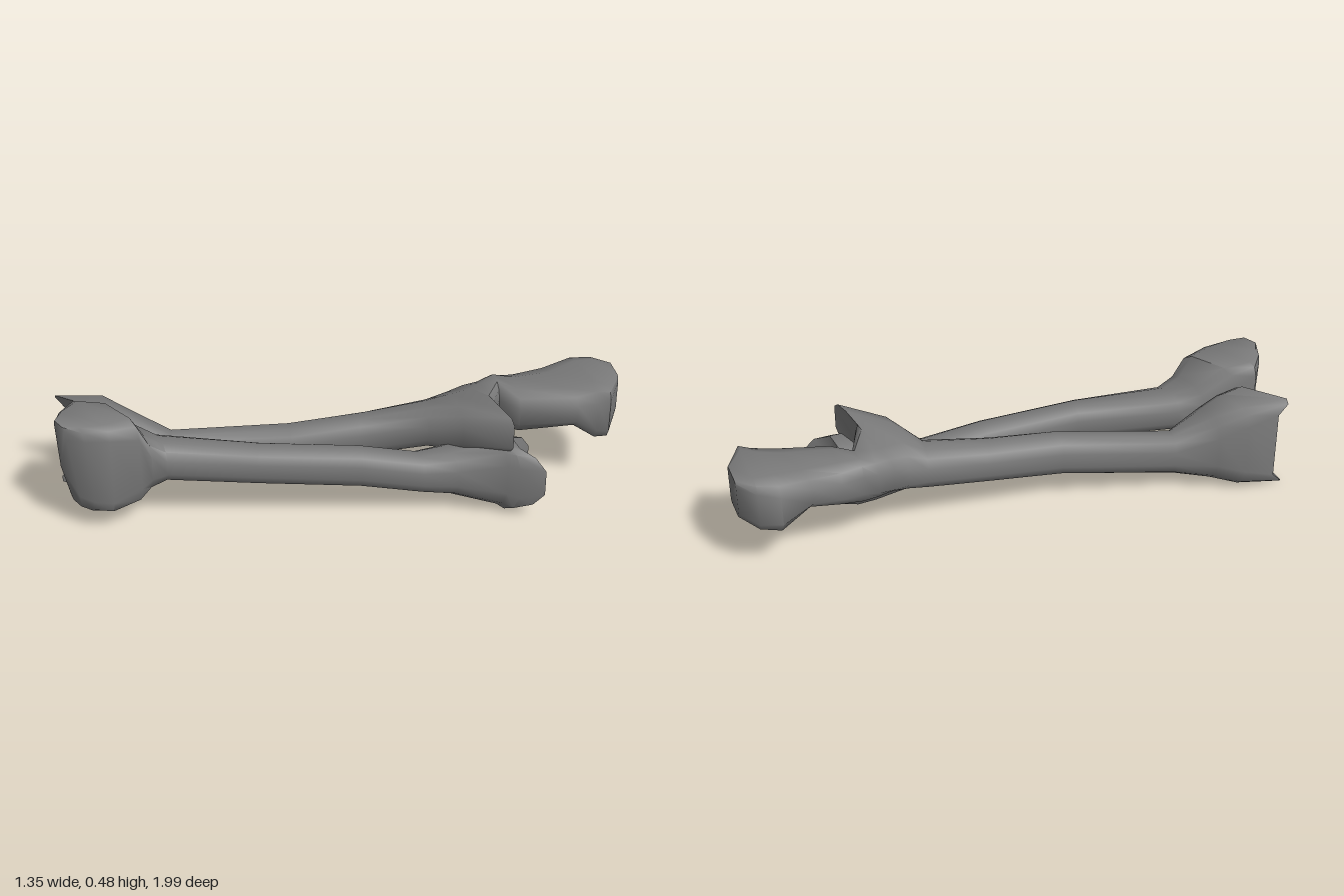
import * as THREE from 'three';
import { toCreasedNormals } from 'three/addons/utils/BufferGeometryUtils.js';

const SIDES = 12;
const power = (v, p) => Math.sign(v) * Math.pow(Math.abs(v), p);

// Lofts a bone through cross-sections, running from the front end to the back end.
// Section: [leftX, leftZ, rightX, rightZ, lowY, highY, options], where the options are
// p: squareness (1 = ellipse), tilt: rise of the right side, lean: z shift of the top,
// spur: [x, z] pull on the left corners, valley: [x, z] pull on the middle.
function bone(name, sections, frontCentre, backCentre) {
  const pos = [], index = [];
  for (const [lx, lz, rx, rz, lo, hi, options] of sections) {
    const { p = 0.8, tilt = 0, lean = 0, spur = [0, 0], valley = [0, 0] } = options ?? {};
    for (let j = 0; j < SIDES; j++) {
      const a = ((j + 0.5) / SIDES) * Math.PI * 2;
      const c = power(Math.cos(a), p), s = power(Math.sin(a), p);
      const corner = s * s * (1 - c) / 2, middle = 1 - c * c;
      pos.push(
        (lx + rx) / 2 + c * (rx - lx) / 2 + spur[0] * corner + valley[0] * middle,
        (lo + hi) / 2 + s * (hi - lo) / 2 + tilt * c,
        (lz + rz) / 2 + c * (rz - lz) / 2 + spur[1] * corner + valley[1] * middle + lean * s
      );
    }
  }
  const last = (sections.length - 1) * SIDES;
  const front = pos.length / 3, back = front + 1;
  pos.push(...frontCentre, ...backCentre);
  for (let j = 0; j < SIDES; j++) {
    const k = (j + 1) % SIDES;
    for (let r = 0; r < last; r += SIDES) {
      index.push(r + j, r + SIDES + j, r + k, r + k, r + SIDES + j, r + SIDES + k);
    }
    index.push(front, j, k, back, last + k, last + j);
  }
  const geo = new THREE.BufferGeometry();
  geo.setAttribute('position', new THREE.Float32BufferAttribute(pos, 3));
  geo.setIndex(index);
  const material = new THREE.MeshStandardMaterial({ color: 0x7a7a7a, side: THREE.DoubleSide });
  const mesh = new THREE.Mesh(toCreasedNormals(geo, 0.9), material);
  mesh.name = name;
  return mesh;
}

export function createModel() {
  const group = new THREE.Group();
  group.name = 'forearmBones';

  // Radius: tall block at the wrist, slim shaft, cleft head at the elbow
  group.add(bone('radius', [
    [-0.40, 0.96, -0.32, 0.96, 0.10, 0.475, { p: 0.25, lean: 0.025 }],
    [-0.45, 0.92, -0.27, 0.92, 0.09, 0.475, { p: 0.25, tilt: -0.004, lean: 0.015 }],
    [-0.495, 0.85, -0.225, 0.85, 0.085, 0.472, { p: 0.25, tilt: -0.006 }],
    [-0.45, 0.77, -0.20, 0.74, 0.09, 0.465, { p: 0.4 }],
    [-0.38, 0.68, -0.17, 0.71, 0.15, 0.38, { p: 0.6 }],
    [-0.31, 0.61, -0.14, 0.66, 0.18, 0.34],
    [-0.04, 0.31, 0.06, 0.39, 0.165, 0.32],
    [0.16, 0.00, 0.27, 0.06, 0.13, 0.29],
    [0.27, -0.18, 0.40, -0.14, 0.09, 0.25],
    [0.30, -0.27, 0.47, -0.25, 0.07, 0.26],
    [0.38, -0.39, 0.59, -0.39, 0.03, 0.31, { p: 0.6 }],
    [0.43, -0.46, 0.63, -0.42, 0.015, 0.31, { p: 0.6, valley: [-0.02, 0.03] }],
    [0.51, -0.57, 0.69, -0.50, 0.03, 0.30, { p: 0.7, valley: [-0.055, 0.095] }],
  ], [-0.36, 0.29, 0.99], [0.55, 0.17, -0.44]));

  // Ulna: spurred wrist end, slim shaft, notched elbow end with a hooked tip
  group.add(bone('ulna', [
    [-0.62, 0.73, -0.45, 0.76, 0.005, 0.405, { p: 0.25, tilt: 0.008, spur: [-0.07, 0.12] }],
    [-0.60, 0.675, -0.40, 0.71, 0.025, 0.39, { p: 0.4 }],
    [-0.52, 0.60, -0.35, 0.64, 0.05, 0.34, { p: 0.6 }],
    [-0.40, 0.48, -0.30, 0.54, 0.08, 0.26],
    [-0.12, 0.13, 0.00, 0.19, 0.125, 0.30],
    [0.03, -0.14, 0.13, -0.03, 0.16, 0.325],
    [0.14, -0.35, 0.28, -0.25, 0.19, 0.36],
    [0.17, -0.42, 0.44, -0.29, 0.215, 0.405, { p: 0.7, tilt: 0.02 }],
    [0.19, -0.48, 0.60, -0.40, 0.25, 0.42, { p: 0.4, tilt: 0.03 }],
    [0.21, -0.54, 0.46, -0.42, 0.23, 0.42, { p: 0.6, tilt: 0.02 }],
    [0.23, -0.60, 0.36, -0.54, 0.22, 0.42, { p: 0.7 }],
    [0.26, -0.68, 0.46, -0.56, 0.23, 0.41, { p: 0.7 }],
    [0.30, -0.79, 0.60, -0.73, 0.265, 0.415, { p: 0.6 }],
    [0.335, -0.91, 0.64, -0.80, 0.20, 0.44, { p: 0.5 }],
    [0.395, -0.97, 0.67, -0.83, 0.22, 0.44, { p: 0.35 }],
    [0.48, -1.0, 0.59, -0.945, 0.265, 0.43, { p: 0.25 }],
  ], [-0.54, 0.2, 0.73], [0.535, 0.35, -0.975]));

  return group;
}
